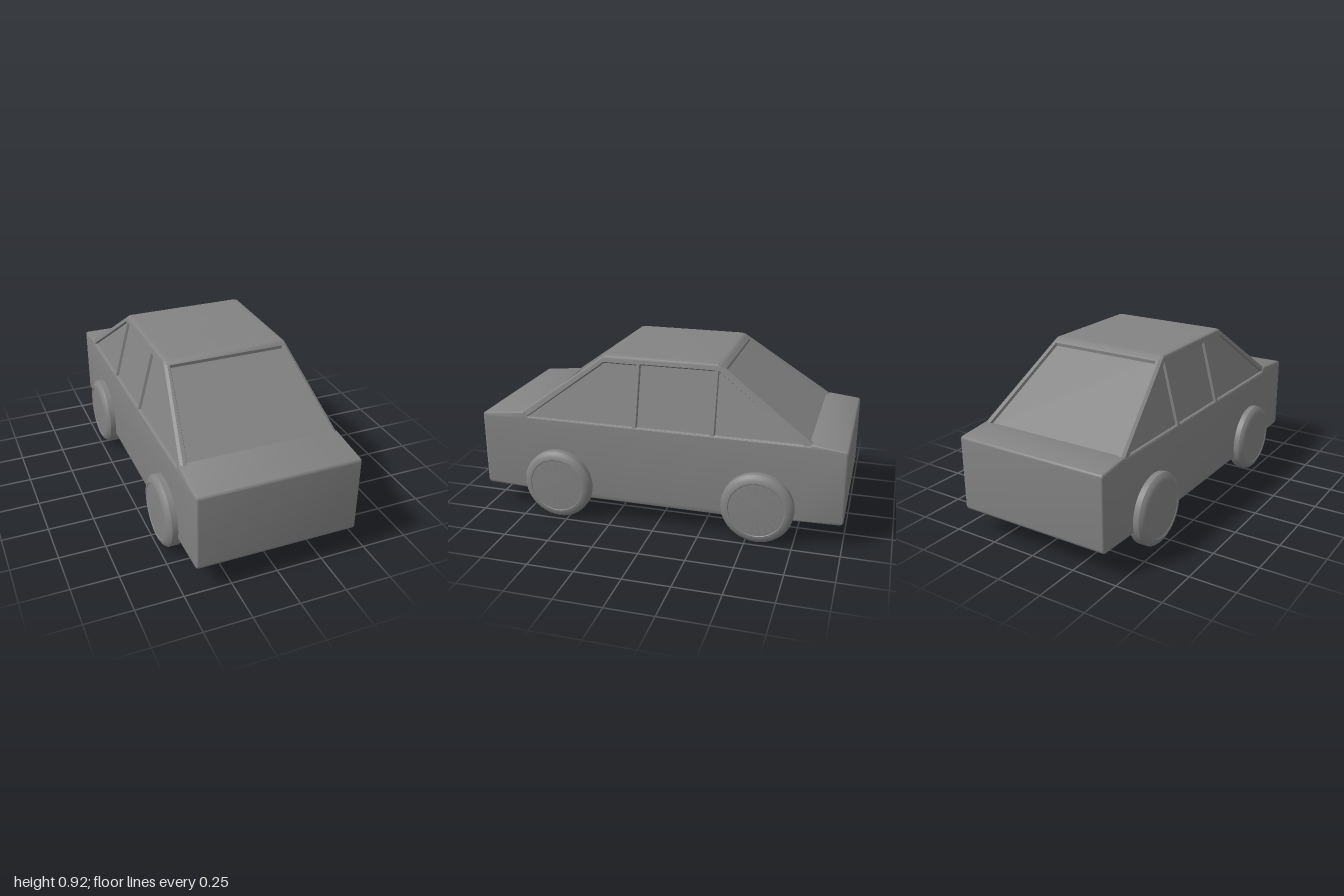
import * as THREE from 'three';
import { toCreasedNormals } from 'three/addons/utils/BufferGeometryUtils.js';

const material = new THREE.MeshStandardMaterial({ color: 0x838383 });

// Sloping planes of the cabin, by height
const sideX = y => 0.432 - 0.26 * (y - 0.553);
const frontZ = y => 0.76 - 1.385 * (y - 0.59);
const backZ = y => -0.82 + 1.43 * (y - 0.565);
const CHAMFER = 0.014;

function add(group, name, geometry) {
  const mesh = new THREE.Mesh(geometry, material);
  mesh.name = name;
  group.add(mesh);
  return mesh;
}

const toShape = pts => new THREE.Shape(pts.map(p => new THREE.Vector2(...p)));

// Side profile of the lower body in (z, y), with rounded nose and tail corners
function bodyProfile() {
  const s = new THREE.Shape();
  s.moveTo(0.975, 0.137);
  s.quadraticCurveTo(1, 0.137, 1, 0.162);
  s.lineTo(1, 0.545);
  s.quadraticCurveTo(1, 0.561, 0.984, 0.563);
  s.lineTo(0.75, 0.587);
  s.lineTo(0.73, 0.56);
  s.lineTo(-0.8, 0.56);
  s.lineTo(-0.82, 0.566);
  s.lineTo(-0.984, 0.548);
  s.quadraticCurveTo(-1, 0.546, -1, 0.53);
  s.lineTo(-1, 0.162);
  s.quadraticCurveTo(-1, 0.137, -0.975, 0.137);
  for (const p of [[-0.74, 0.13], [-0.38, 0.114], [0.38, 0.114], [0.74, 0.13]]) s.lineTo(...p);
  return s;
}

// Eight-sided cabin cross-section at height y, inset in x and z
function ring(y, inX = 0, inZ = 0, at = y) {
  const x = sideX(y) - inX, f = frontZ(y) - inZ, b = backZ(y) + inZ, c = CHAMFER;
  return [[-x + c, f], [x - c, f], [x, f - c], [x, b + c], [x - c, b], [-x + c, b], [-x, b + c], [-x, f - c]]
    .map(([px, pz]) => [px, at, pz]);
}

// Skin between rings; step 2 from side 1 gives only the chamfered corners
function loft(rings, first = 0, step = 1, cap = true) {
  const v = [];
  for (let r = 0; r < rings.length - 1; r++) {
    const p = rings[r], q = rings[r + 1];
    for (let i = first; i < 8; i += step) {
      const j = (i + 1) % 8;
      v.push(...p[i], ...p[j], ...q[j], ...p[i], ...q[j], ...q[i]);
    }
  }
  const top = rings[rings.length - 1];
  if (cap) for (let i = 1; i < 7; i++) v.push(...top[0], ...top[i], ...top[i + 1]);
  const g = new THREE.BufferGeometry();
  g.setAttribute('position', new THREE.Float32BufferAttribute(v, 3));
  g.computeVertexNormals();
  return g;
}

// Frame with splayed window openings, laid onto a sloping plane by a rule;
// its thickness runs from -HALF to HALF
const HALF = 0.017;
function frame(outline, holes, place) {
  const shape = toShape(outline);
  shape.holes = holes.map(toShape);
  const g = new THREE.ExtrudeGeometry(shape, {
    depth: 0.002, bevelThickness: HALF - 0.001, bevelSize: 0.006, bevelSegments: 1,
  });
  g.translate(0, 0, -0.001);
  const p = g.attributes.position;
  for (let i = 0; i < p.count; i++) p.setXYZ(i, ...place(p.getX(i), p.getY(i), p.getZ(i)));
  g.computeVertexNormals();
  return g;
}

export function createModel() {
  const car = new THREE.Group();
  car.name = 'car';

  // Lower body: side profile swept across the width with rounded edges
  const bevel = 0.012, width = 0.868;
  const body = new THREE.ExtrudeGeometry(bodyProfile(), {
    depth: width - 2 * bevel, bevelThickness: bevel, bevelSize: bevel,
    bevelOffset: -bevel, bevelSegments: 4, curveSegments: 5,
  });
  body.translate(0, 0, -(width / 2 - bevel)).rotateY(-Math.PI / 2);
  add(car, 'body', toCreasedNormals(body, 0.6));

  // Cabin: recessed glass, corner pillars, rounded roof
  const cabin = new THREE.Group();
  cabin.name = 'cabin';
  car.add(cabin);
  add(cabin, 'glass', loft([ring(0.54, 0.014, 0.024), ring(0.902, 0.014, 0.024)]));
  add(cabin, 'cornerPillars', loft([ring(0.55), ring(0.9)], 1, 2, false));
  add(cabin, 'roof', toCreasedNormals(loft([
    ring(0.9), ring(0.907), ring(0.91, 0.003, 0.003, 0.913),
    ring(0.914, 0.01, 0.01, 0.9175), ring(0.914, 0.03, 0.03, 0.9185),
  ]), 0.6));

  // Side frames with three windows each
  const low = 0.55, high = 0.9, c = CHAMFER;
  const sideOutline = [
    [backZ(low) + c, low], [frontZ(low) - c, low], [frontZ(high) - c, high], [backZ(high) + c, high],
  ];
  const sideWindows = [
    [[0.745, 0.556], [0.31, 0.881], [0.127, 0.881], [0.127, 0.556]],
    [[0.109, 0.556], [0.109, 0.884], [-0.297, 0.884], [-0.297, 0.556]],
    [[-0.314, 0.556], [-0.314, 0.885], [-0.778, 0.556]],
  ];
  add(cabin, 'leftWindowFrame', frame(sideOutline, sideWindows,
    (z, y, d) => [sideX(y) - (HALF + d), y - 0.25 * (HALF + d), z]));
  add(cabin, 'rightWindowFrame', frame(sideOutline, sideWindows,
    (z, y, d) => [-sideX(y) + (HALF - d), y - 0.25 * (HALF - d), z]));

  // Windscreen and rear window frames, sunk square to their slopes
  const trapezoid = (y0, x0, y1, x1) => [[-x0, y0], [x0, y0], [x1, y1], [-x1, y1]];
  const endOutline = trapezoid(low, sideX(low) - c, high, sideX(high) - c);
  add(cabin, 'windscreenFrame', frame(endOutline, [trapezoid(0.58, 0.39, 0.899, 0.315)],
    (x, y, d) => [x, y - 0.81 * (HALF - d), frontZ(y) - 0.585 * (HALF - d)]));
  add(cabin, 'rearWindowFrame', frame(endOutline, [trapezoid(0.565, 0.396, 0.893, 0.316)],
    (x, y, d) => [x, y - 0.82 * (HALF + d), backZ(y) + 0.573 * (HALF + d)]));

  // Wheels: turned profile (radius, distance along the axle)
  const profile = [
    [0, -0.052], [0.148, -0.052], [0.165, -0.05], [0.182, -0.04], [0.193, -0.026],
    [0.193, 0.028], [0.182, 0.041], [0.165, 0.051], [0.15, 0.053], [0.147, 0.05], [0, 0.05],
  ].map(p => new THREE.Vector2(...p));
  const wheel = toCreasedNormals(new THREE.LatheGeometry(profile, 40).rotateZ(-Math.PI / 2), 0.6);
  for (const [end, z] of [['front', 0.555], ['rear', -0.557]]) {
    for (const [side, s] of [['Left', 1], ['Right', -1]]) {
      const mesh = add(car, `${end}${side}Wheel`, wheel);
      mesh.position.set(s * 0.437, 0.193, z);
      if (s < 0) mesh.rotation.y = Math.PI;
    }
  }
  return car;
}
